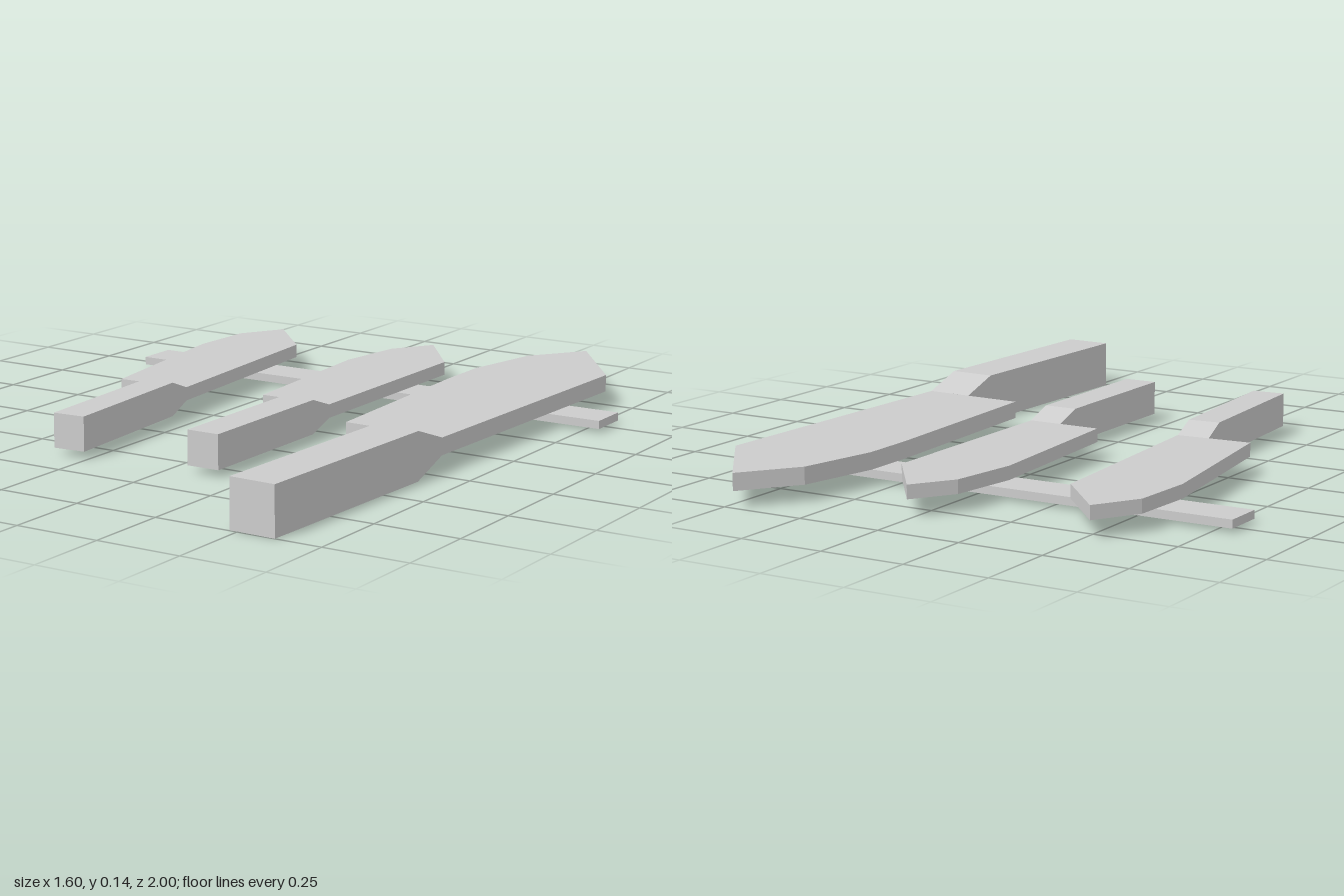
import * as THREE from 'three';

const material = new THREE.MeshStandardMaterial({ color: 0xcccccc, flatShading: true, side: THREE.DoubleSide });

// Flat blade: a plan outline of [x, z] points, extruded upwards
function bladeGeometry(outline, y0, y1) {
  const shape = new THREE.Shape(outline.map(([x, z]) => new THREE.Vector2(x, -z)));
  const geo = new THREE.ExtrudeGeometry(shape, { depth: y1 - y0, bevelEnabled: false });
  return geo.rotateX(-Math.PI / 2).translate(0, y0, 0);
}

// Handle: rectangular sections { l: [x, z], r: [x, z], y: [bottom, top] } joined in a loop
function handleGeometry(sections) {
  const rings = sections.map(({ l, r, y }) => [
    [l[0], y[0], l[1]], [r[0], y[0], r[1]], [r[0], y[1], r[1]], [l[0], y[1], l[1]],
  ]);
  const pos = [];
  const quad = (a, b, c, d) => pos.push(...a, ...b, ...c, ...a, ...c, ...d);
  for (let i = 0; i < rings.length - 1; i++) {
    for (let j = 0; j < 4; j++) {
      const k = (j + 1) % 4;
      quad(rings[i][j], rings[i][k], rings[i + 1][k], rings[i + 1][j]);
    }
  }
  quad(...rings[rings.length - 1]);
  const geo = new THREE.BufferGeometry();
  geo.setAttribute('position', new THREE.Float32BufferAttribute(pos, 3));
  geo.computeVertexNormals();
  return geo;
}

function part(name, geometry) {
  const mesh = new THREE.Mesh(geometry, material);
  mesh.name = name;
  return mesh;
}

// left / right: handle edges at the neck, at the end of the flare and at the butt
const knives = [
  {
    name: 'smallKnife', bladeY: [0.05, 0.09], handleY: [0.02, 0.12],
    blade: [[-0.52, -0.8], [-0.355, -0.62], [-0.305, 0.06], [-0.53, 0.075], [-0.61, -0.47], [-0.6, -0.67]],
    left: [[-0.402, 0.066], [-0.392, 0.148], [-0.36, 0.625]],
    right: [[-0.305, 0.06], [-0.298, 0.14], [-0.262, 0.618]],
  },
  {
    name: 'mediumKnife', bladeY: [0.05, 0.09], handleY: [0.02, 0.12],
    blade: [[0.01, -0.85], [0.163, -0.65], [0.163, 0.02], [-0.062, 0.02], [-0.102, -0.52], [-0.072, -0.73]],
    left: [[0.063, 0.02], [0.063, 0.105], [0.063, 0.585]],
    right: [[0.163, 0.02], [0.163, 0.105], [0.163, 0.585]],
  },
  {
    name: 'largeKnife', bladeY: [0.047, 0.097], handleY: [0, 0.14],
    blade: [[0.47, -1], [0.673, -0.725], [0.641, 0.21], [0.33, 0.2], [0.3, -0.43], [0.3, -0.6], [0.35, -0.84]],
    left: [[0.503, 0.206], [0.499, 0.327], [0.475, 0.995]],
    right: [[0.641, 0.21], [0.637, 0.332], [0.613, 1]],
  },
];

export function createModel() {
  const model = new THREE.Group();
  model.name = 'knifeRack';

  // Wall rail, open underneath
  const rail = new THREE.BoxGeometry(1.6, 0.024, 0.125);
  const bottom = rail.groups[3];
  rail.setIndex([...rail.index.array].filter((_, i) => i < bottom.start || i >= bottom.start + bottom.count));
  rail.clearGroups();
  rail.translate(0, 0.022, -0.4875);
  model.add(part('rail', rail));

  // Knives lying across the rail
  for (const k of knives) {
    const knife = new THREE.Group();
    knife.name = k.name;
    knife.add(part('blade', bladeGeometry(k.blade, ...k.bladeY)));
    const sections = k.left.map((l, i) => ({ l, r: k.right[i], y: i === 0 ? k.bladeY : k.handleY }));
    knife.add(part('handle', handleGeometry(sections)));
    model.add(knife);
  }
  return model;
}
